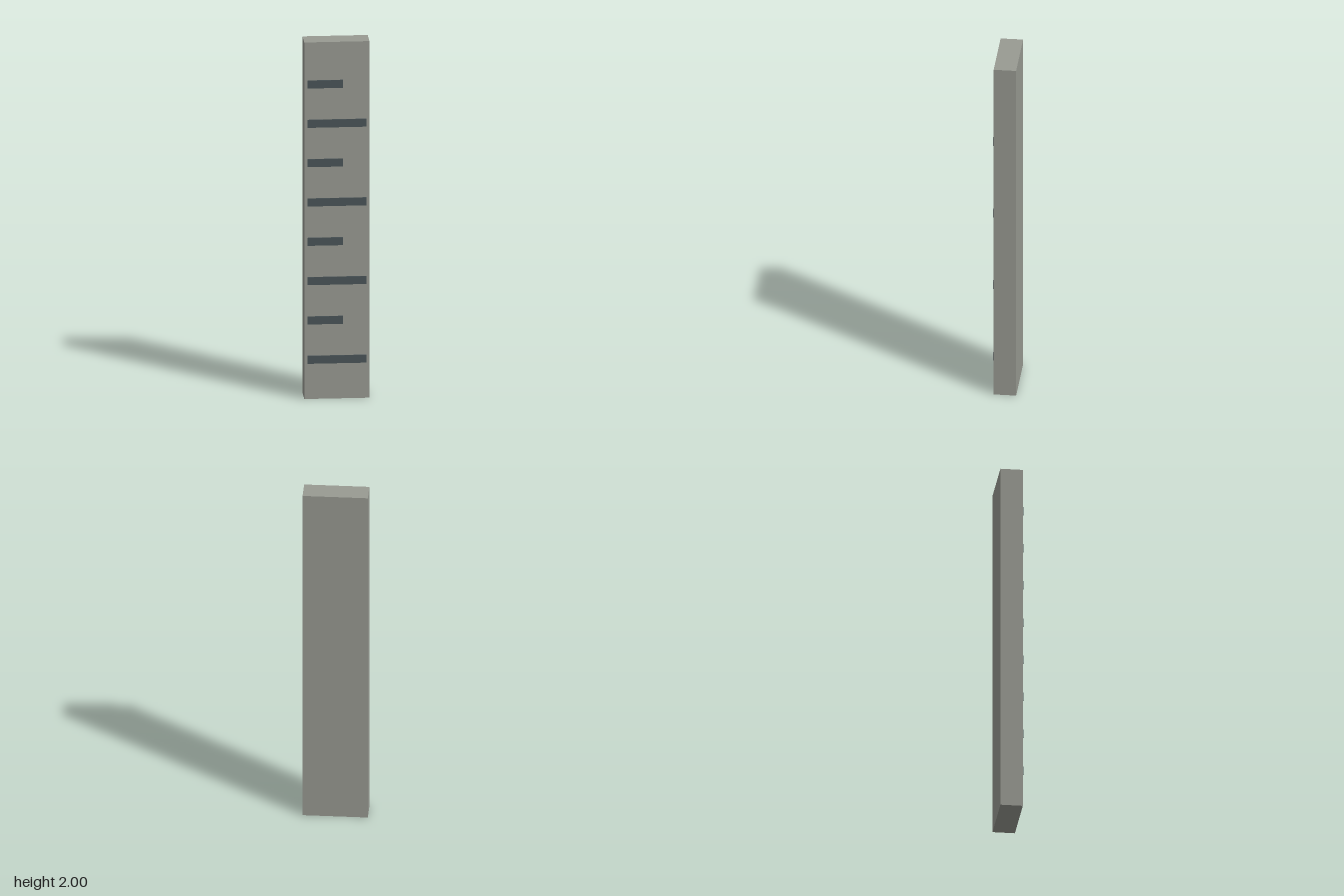
import * as THREE from 'three';

export function createModel() {
  const group = new THREE.Group();
  group.name = 'gaugeBoard';
  const boardMaterial = new THREE.MeshStandardMaterial({ color: 0x989a92 });
  const markMaterial = new THREE.MeshStandardMaterial({ color: 0x4a5458 });

  // Box given by its min and max corners
  const addBox = (name, material, [x0, y0, z0], [x1, y1, z1]) => {
    const mesh = new THREE.Mesh(new THREE.BoxGeometry(x1 - x0, y1 - y0, z1 - z0), material);
    mesh.position.set((x0 + x1) / 2, (y0 + y1) / 2, (z0 + z1) / 2);
    mesh.name = name;
    group.add(mesh);
  };

  // Upright slab
  addBox('board', boardMaterial, [-0.1765, 0, -0.064], [0.1765, 2, 0.058]);

  // Raised graduation marks on the front, alternating long and short
  const step = 0.2206, halfHeight = 0.022, left = -0.159;
  for (let i = 1; i <= 8; i++) {
    const long = i % 2 === 1;
    const y = i * step;
    addBox(long ? 'longMark' : 'shortMark', markMaterial,
      [left, y - halfHeight, 0.052], [long ? 0.159 : 0.033, y + halfHeight, 0.064]);
  }
  return group;
}
